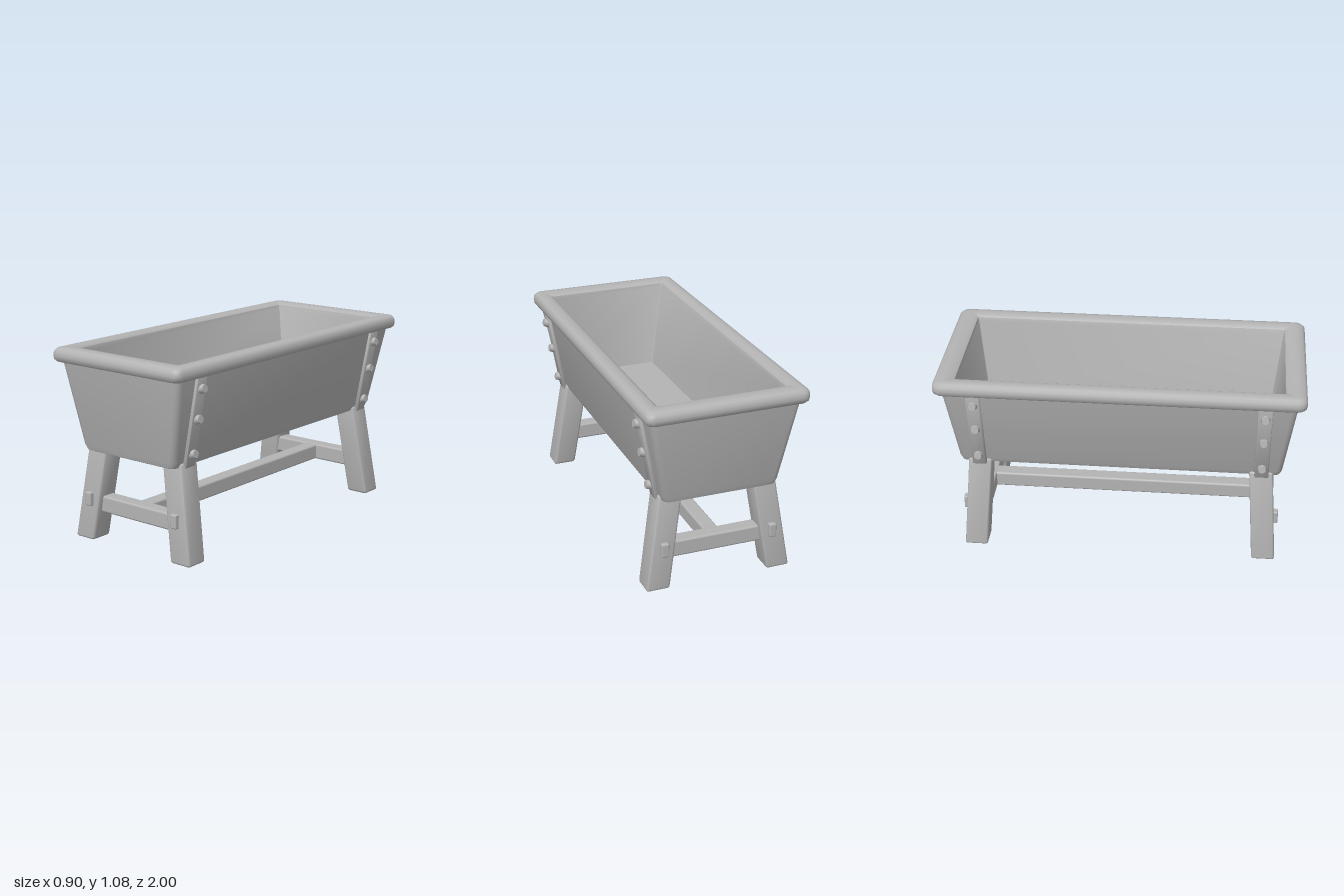
import * as THREE from 'three';
import { toCreasedNormals } from 'three/addons/utils/BufferGeometryUtils.js';
import { RoundedBoxGeometry } from 'three/addons/geometries/RoundedBoxGeometry.js';

// Rounded rectangle in the xz plane, running from +x towards +z
function ring(hx, hz, y, r, steps = 4) {
  r = Math.min(r, hx, hz);
  const pts = [];
  [[1, 1], [-1, 1], [-1, -1], [1, -1]].forEach(([sx, sz], q) => {
    for (let i = 0; i <= steps; i++) {
      const a = (q + i / steps) * Math.PI / 2;
      pts.push([sx * (hx - r) + r * Math.cos(a), y, sz * (hz - r) + r * Math.sin(a)]);
    }
  });
  return pts;
}

// Skin through a list of [halfX, halfZ, y, cornerRadius] sections
function loft(sections, crease) {
  const rings = sections.map(s => ring(...s));
  const n = rings[0].length, index = [];
  for (let k = 0; k < rings.length - 1; k++) {
    for (let i = 0; i < n; i++) {
      const a = k * n + i, b = k * n + (i + 1) % n, c = a + n, d = b + n;
      index.push(a, c, b, b, c, d);
    }
  }
  const g = new THREE.BufferGeometry();
  g.setAttribute('position', new THREE.Float32BufferAttribute(rings.flat(2), 3));
  g.setIndex(index);
  return toCreasedNormals(g, crease);
}

// Rounded bar leaning from a bottom centre to a top centre, ends kept level
function leaningPost(w, d, [x0, y0, z0], [x1, y1, z1], r) {
  const h = y1 - y0;
  const g = new RoundedBoxGeometry(w, h, d, 2, r);
  const p = g.attributes.position;
  for (let i = 0; i < p.count; i++) {
    const t = p.getY(i) / h + 0.5;
    p.setXYZ(i, p.getX(i) + x0 + (x1 - x0) * t, y0 + h * t, p.getZ(i) + z0 + (z1 - z0) * t);
  }
  g.computeVertexNormals();
  return toCreasedNormals(g, 0.7);
}

export function createModel() {
  const model = new THREE.Group();
  model.name = 'trough';
  const grey = new THREE.MeshStandardMaterial({ color: 0xb4b4b4 });
  grey.name = 'plain grey';
  const add = (name, geometry, x = 0, y = 0, z = 0) => {
    const m = new THREE.Mesh(geometry, grey);
    m.name = name;
    m.position.set(x, y, z);
    model.add(m);
    return m;
  };

  // Basin: underside, flared walls, rolled rim, inner walls and floor
  add('basin', loft([
    [0, 0, 0.508, 0],
    [0.295, 0.87, 0.508, 0.03],
    [0.315, 0.888, 0.516, 0.035],
    [0.328, 0.897, 0.545, 0.035],
    [0.415, 0.955, 1.0, 0.035],
    [0.436, 0.985, 1.0, 0.04],
    [0.447, 0.997, 1.012, 0.045],
    [0.45, 1.0, 1.032, 0.045],
    [0.447, 0.997, 1.056, 0.045],
    [0.434, 0.983, 1.071, 0.04],
    [0.41, 0.95, 1.076, 0.025],
    [0.375, 0.905, 1.073, 0.01],
    [0.355, 0.885, 1.062, 0.006],
    [0.348, 0.88, 1.04, 0.006],
    [0.268, 0.825, 0.57, 0.006],
    [0, 0, 0.57, 0],
  ], 0.75));

  // Legs, side straps, bolts and tenon ends, repeated at the four corners
  for (const sx of [1, -1]) {
    for (const sz of [1, -1]) {
      add('leg', leaningPost(0.132, 0.13,
        [sx * 0.347, 0, sz * 0.818], [sx * 0.264, 0.54, sz * 0.78], 0.014));
      add('strap', leaningPost(0.034, 0.078,
        [sx * 0.326, 0.51, sz * 0.783], [sx * 0.415, 1.01, sz * 0.783], 0.008));
      for (const y of [0.585, 0.775, 0.94]) {
        const bolt = add('bolt', new THREE.CylinderGeometry(0.021, 0.028, 0.03, 10),
          sx * (0.352 + (y - 0.51) * 0.178), y, sz * 0.783);
        bolt.rotation.z = -sx * (Math.PI / 2 - 0.17);
      }
      add('tenon', new RoundedBoxGeometry(0.042, 0.078, 0.06, 2, 0.008),
        sx * 0.308, 0.233, sz * 0.86);
    }
  }

  // Rails joining each pair of legs
  for (const sz of [1, -1]) {
    add('crossRail', new RoundedBoxGeometry(0.58, 0.094, 0.085, 2, 0.012), 0, 0.203, sz * 0.793);
  }

  // Long stretcher between the two cross rails
  add('stretcher', new RoundedBoxGeometry(0.085, 0.09, 1.54, 2, 0.012), 0, 0.203, 0);

  return model;
}
